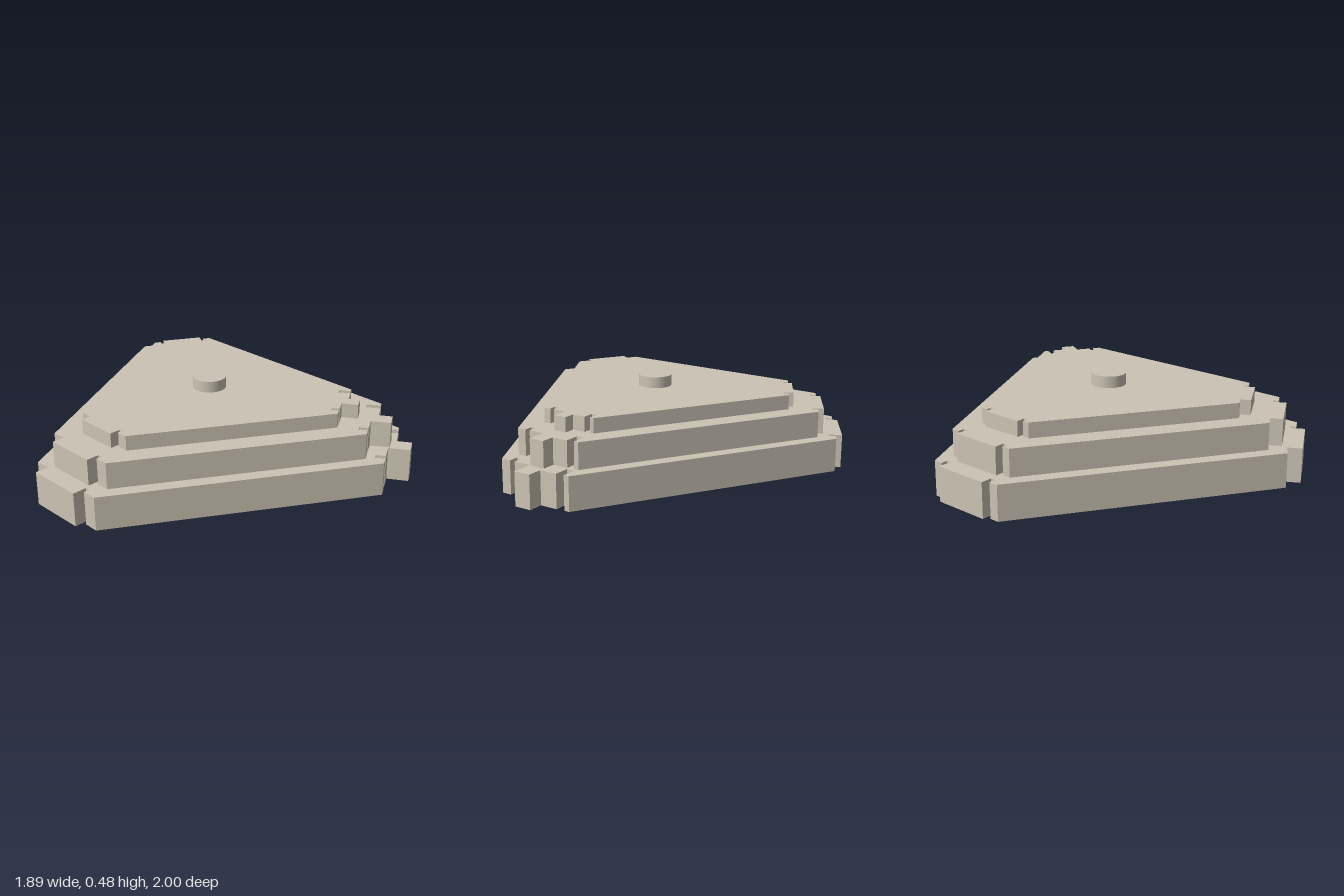
import * as THREE from 'three';

// Notched outline of the lowest tier, as [x, z]
const OUTLINE = [
  // right corner: two slots and a square tab
  [0.85, -0.175], [0.85, -0.145], [0.765, -0.145], [0.765, -0.1], [0.855, -0.1], [0.855, 0],
  [0.94, 0], [0.94, 0.097], [0.82, 0.097], [0.82, 0.198], [0.765, 0.198], [0.765, 0.23],
  [0.82, 0.23], [0.82, 0.285],
  // front corner: one slot and one step
  [-0.525, 0.995], [-0.595, 0.95], [-0.575, 0.925], [-0.6, 0.91], [-0.64, 0.98],
  [-0.915, 0.81], [-0.875, 0.745], [-0.95, 0.705],
  // back corner: two slots
  [-0.9, -0.785], [-0.855, -0.81], [-0.84, -0.775], [-0.812, -0.792], [-0.845, -0.845],
  [-0.57, -0.997], [-0.535, -0.93], [-0.51, -0.945], [-0.533, -0.977], [-0.485, -1],
];
const CENTRE = [-0.2, 0.005];

// Each tier repeats the outline, shrunk about the centre
const TIERS = [
  { name: 'lowerTier', scale: 1, bottom: 0, top: 0.187 },
  { name: 'middleTier', scale: 0.9, bottom: 0.187, top: 0.332 },
  { name: 'upperTier', scale: 0.74, bottom: 0.332, top: 0.413 },
];

export function createModel() {
  const group = new THREE.Group();
  group.name = 'steppedPlatform';
  const material = new THREE.MeshStandardMaterial({ color: 0xcbc3b3 });

  for (const { name, scale, bottom, top } of TIERS) {
    const points = OUTLINE.map(([x, z]) => new THREE.Vector2(
      CENTRE[0] + (x - CENTRE[0]) * scale,
      -(CENTRE[1] + (z - CENTRE[1]) * scale),
    ));
    const geometry = new THREE.ExtrudeGeometry(new THREE.Shape(points), {
      depth: top - bottom, bevelEnabled: false,
    });
    geometry.rotateX(-Math.PI / 2);
    const tier = new THREE.Mesh(geometry, material);
    tier.name = name;
    tier.position.y = bottom;
    group.add(tier);
  }

  // Round knob on top
  const knob = new THREE.Mesh(new THREE.CylinderGeometry(0.093, 0.093, 0.063, 48), material);
  knob.name = 'knob';
  knob.position.set(-0.203, 0.4445, 0.01);
  group.add(knob);

  return group;
}
